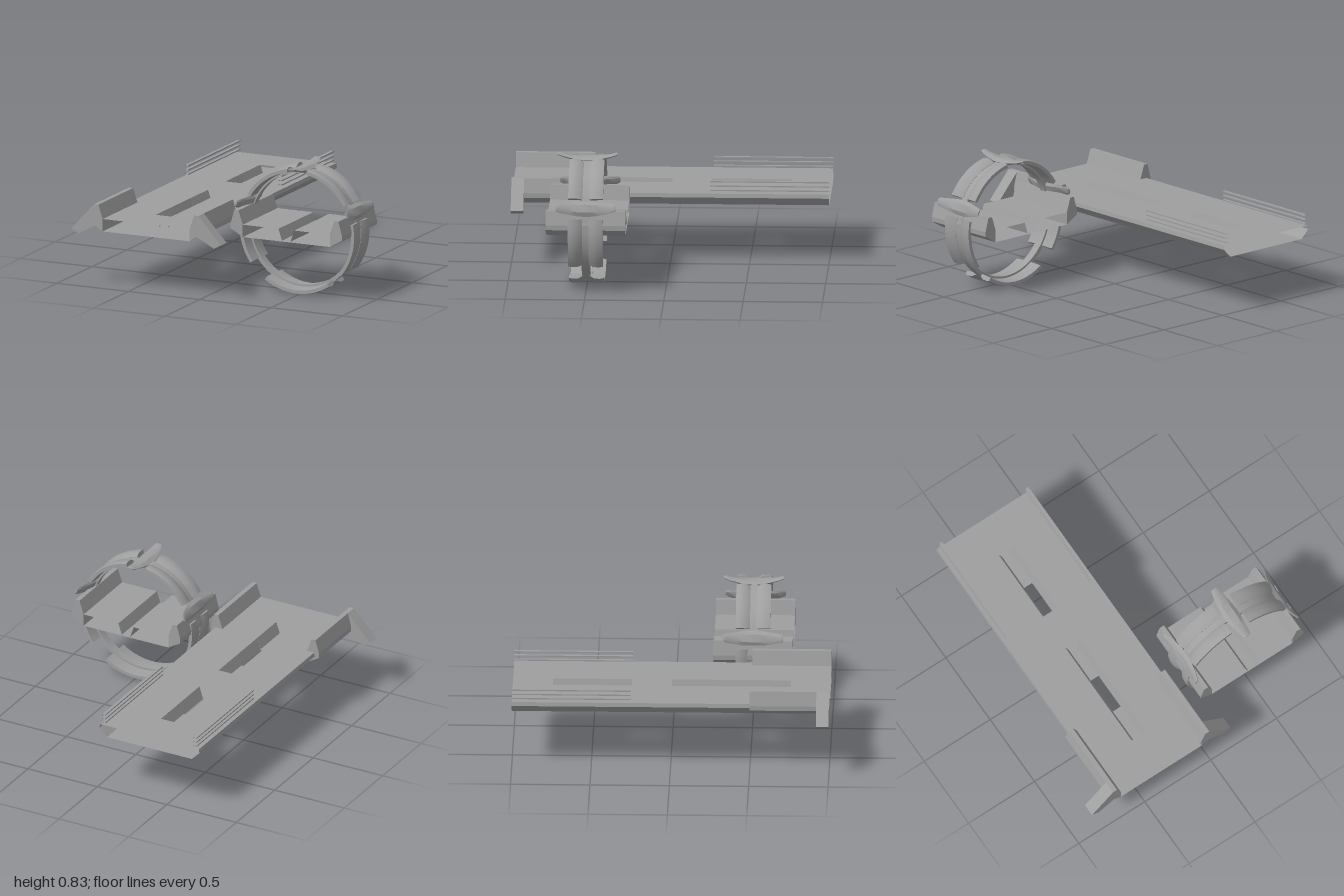
import * as THREE from 'three';
import { toCreasedNormals } from 'three/addons/utils/BufferGeometryUtils.js';

const material = new THREE.MeshStandardMaterial({ color: 0x9e9e9e, side: THREE.DoubleSide });

// Skin a list of cross-sections (each a loop of [x, y, z]), optionally capping the ends
function loft(sections, caps, crease = 0.5) {
  const pos = [];
  const tri = (a, b, c) => pos.push(...a, ...b, ...c);
  for (let i = 0; i + 1 < sections.length; i++) {
    const a = sections[i], b = sections[i + 1], n = a.length;
    for (let j = 0; j < n; j++) {
      const k = (j + 1) % n;
      tri(a[j], a[k], b[k]);
      tri(a[j], b[k], b[j]);
    }
  }
  if (caps) {
    const first = sections[0], last = sections[sections.length - 1];
    for (let j = 1; j + 1 < first.length; j++) {
      tri(first[0], first[j + 1], first[j]);
      tri(last[0], last[j], last[j + 1]);
    }
  }
  const geo = new THREE.BufferGeometry();
  geo.setAttribute('position', new THREE.Float32BufferAttribute(pos, 3));
  return toCreasedNormals(geo, crease);
}

function add(parent, name, geo) {
  const mesh = new THREE.Mesh(geo, material);
  mesh.name = name;
  parent.add(mesh);
  return mesh;
}

// Straight prism along z from a counter-clockwise [x, y] outline
const prism = (outline, z0, z1, caps) =>
  loft([z0, z1].map(z => outline.map(([x, y]) => [x, y, z])), caps, 0.1);

const mirror = outline => outline.map(([x, y]) => [-x, y]).reverse();

// Prism repeated on both sides of x = 0
function addPair(parent, name, outline, z0, z1, caps) {
  add(parent, name + 'Left', prism(outline, z0, z1, caps));
  add(parent, name + 'Right', prism(mirror(outline), z0, z1, caps));
}

// Deck outlines
const TOP = 0.45, BASE = 0.37;
const edge = [[0.305, BASE], [0.36, 0.425], [0.355, TOP]];
const plain = [...edge, ...mirror(edge)];
const groove = [...edge, [0.055, TOP], [0.03, 0.376], [-0.03, 0.376], [-0.055, TOP], ...mirror(edge)];
const openHalf = [...edge, [0.055, TOP], [0.03, BASE]];

// Raised side wall and the angled fin at its front
const wall = [[0.305, BASE], [0.39, 0.42], [0.39, TOP], [0.365, 0.54], [0.335, 0.54], [0.305, TOP]];
const fin = [[0.36, 0.4], [0.475, 0.34], [0.525, 0.367], [0.365, 0.54]];

function buildLongDeck() {
  const deck = new THREE.Group();
  deck.name = 'longDeck';
  // Segments along z: solid, grooved, or cut right through
  const kinds = [
    [-1, -0.75, 'plain'], [-0.75, -0.5, 'groove'], [-0.5, -0.25, 'open'], [-0.25, 0, 'plain'],
    [0, 0.25, 'groove'], [0.25, 0.5, 'open'], [0.5, 0.75, 'groove'], [0.75, 1, 'plain'],
  ];
  for (const [z0, z1, kind] of kinds) {
    if (kind === 'open') addPair(deck, 'slotDeck', openHalf, z0, z1, false);
    else add(deck, kind + 'Deck', prism(kind === 'plain' ? plain : groove, z0, z1, false));
  }
  addPair(deck, 'sideWall', wall, 0.5, 1, true);
  addPair(deck, 'fin', fin, 0.92, 1, true);
  // Three thin open rails above each rear edge
  for (const y of [0.463, 0.491, 0.519]) {
    const rail = [[0.318, y], [0.338, y], [0.338, y + 0.008], [0.318, y + 0.008]];
    addPair(deck, 'rail', rail, -1, -0.25, false);
  }
  deck.position.x = -0.375;
  return deck;
}

function buildShortDeck() {
  const deck = new THREE.Group();
  deck.name = 'shortDeck';
  add(deck, 'groovedDeck', prism(groove, 0.25, 0.75, false));
  addPair(deck, 'sideWall', wall, 0.25, 0.75, true);
  deck.position.x = 0.485;
  return deck;
}

// Sweep an [r, z] section around the ring axis between two angles in degrees
function arc(section, from, to, caps) {
  const steps = Math.ceil((to - from) / 5);
  const sections = [];
  for (let i = 0; i <= steps; i++) {
    const a = THREE.MathUtils.degToRad(from + (to - from) * i / steps);
    sections.push(section.map(([r, z]) => [r * Math.cos(a), r * Math.sin(a), z]));
  }
  return loft(sections, caps);
}

function buildRing() {
  const ring = new THREE.Group();
  ring.name = 'ring';
  add(ring, 'hoop', arc([[0.36, -0.027], [0.385, -0.027], [0.385, 0.027], [0.36, 0.027]], 0, 360, false));

  // Twin-flange pads around the hoop
  const flange = [[0.372, 0.02], [0.387, 0.02], [0.405, 0.05], [0.408, 0.085], [0.402, 0.11], [0.38, 0.11]];
  const other = flange.map(([r, z]) => [r, -z]).reverse();
  const spans = [[-124, -56], [-36, 12], [31, 80], [100, 149], [168, 216]];
  for (const [from, to] of spans) {
    add(ring, 'padFront', arc(flange, from, to, true));
    add(ring, 'padBack', arc(other, from, to, true));
  }

  // Spindle-shaped clamps with upswept tips: [z, half width, inner r, outer r]
  const half = [[0, 0.05, 0.366, 0.404], [0.05, 0.048, 0.37, 0.404], [0.1, 0.04, 0.385, 0.407],
    [0.15, 0.032, 0.398, 0.414], [0.183, 0.025, 0.409, 0.424], [0.19, 0.018, 0.413, 0.422]];
  const stations = [...half.slice(1).reverse().map(([z, ...s]) => [-z, ...s]), ...half];
  const clamp = loft(stations.map(([z, w, r0, r1]) => {
    const mid = (r0 + r1) / 2;
    return [[-w * 0.65, r0, z], [w * 0.65, r0, z], [w, mid, z],
      [w * 0.5, r1, z], [-w * 0.5, r1, z], [-w, mid, z]];
  }), true, 0.6);
  for (const tilt of [-68, 0, 68]) {
    add(ring, 'clamp', clamp).rotation.z = THREE.MathUtils.degToRad(tilt);
  }
  ring.position.set(0.49, 0.408, 0.5);
  return ring;
}

export function createModel() {
  const model = new THREE.Group();
  model.name = 'deckAndRing';
  model.add(buildLongDeck(), buildShortDeck(), buildRing());
  return model;
}
